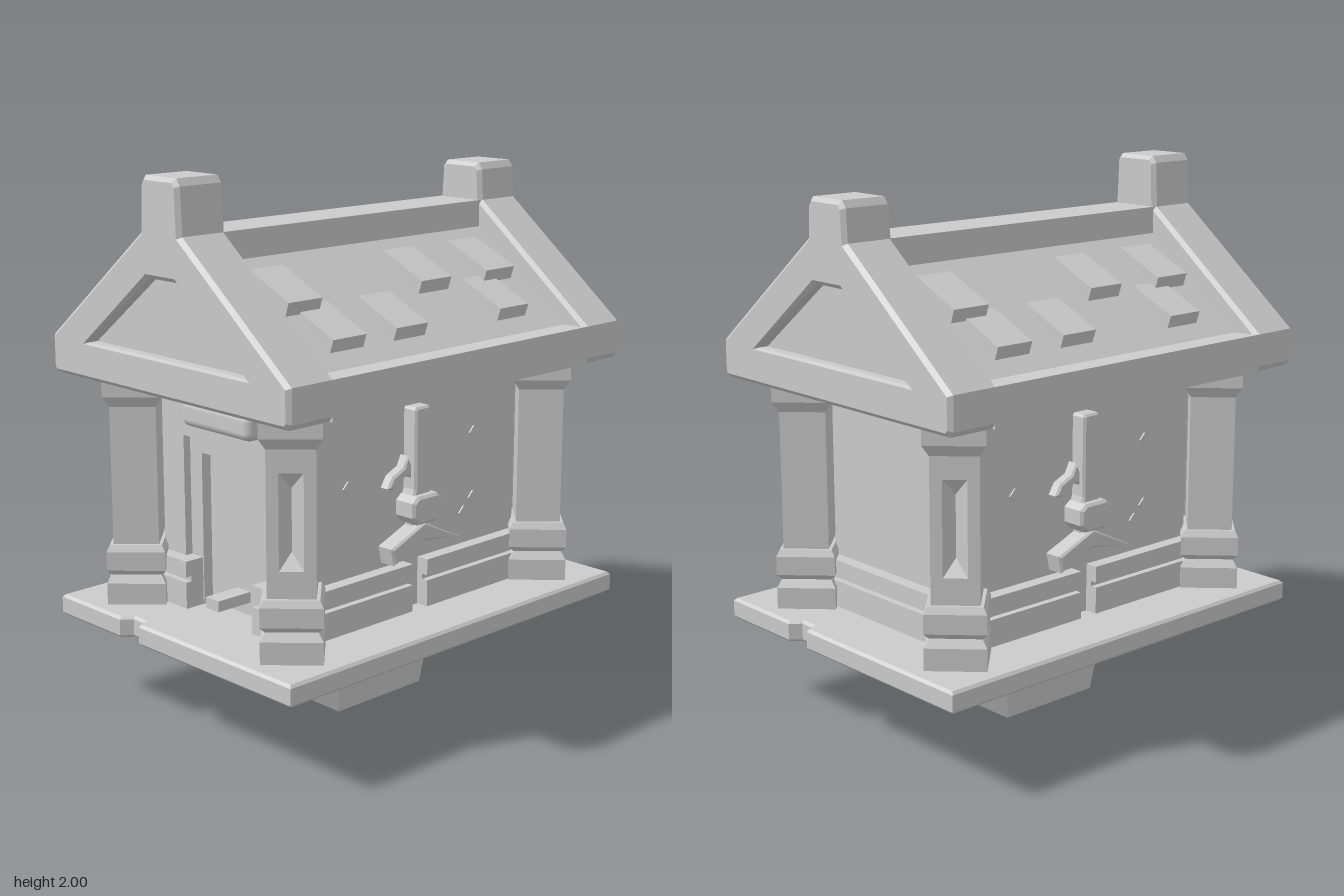
import * as THREE from 'three';
import { ConvexGeometry } from 'three/addons/geometries/ConvexGeometry.js';
import { RoundedBoxGeometry } from 'three/addons/geometries/RoundedBoxGeometry.js';

const flat = new THREE.MeshStandardMaterial({ color: 0xcccccc, flatShading: true });
const smooth = new THREE.MeshStandardMaterial({ color: 0xcccccc });

function add(parent, name, geometry, material = flat) {
  const mesh = new THREE.Mesh(geometry, material);
  mesh.name = name;
  parent.add(mesh);
  return mesh;
}

// Box given by its lower and upper corners
function block(parent, name, [x0, y0, z0], [x1, y1, z1]) {
  const g = new THREE.BoxGeometry(x1 - x0, y1 - y0, z1 - z0);
  g.translate((x0 + x1) / 2, (y0 + y1) / 2, (z0 + z1) / 2);
  return add(parent, name, g);
}

const shapeOf = pts => new THREE.Shape(pts.map(p => new THREE.Vector2(...p)));

// Outline in x, y extruded from z0 to z1, with an optional hole and edge bevel
function slab(pts, z0, z1, { hole, bevel = 0 } = {}) {
  const shape = shapeOf(pts);
  if (hole) shape.holes.push(new THREE.Path(hole.map(p => new THREE.Vector2(...p))));
  const g = new THREE.ExtrudeGeometry(shape, {
    depth: z1 - z0 - 2 * bevel, bevelEnabled: bevel > 0, bevelSize: bevel,
    bevelThickness: bevel, bevelOffset: -bevel, bevelSegments: 1,
  });
  return g.translate(0, 0, z0 + bevel);
}

// Flat-sided surface from convex polygons, corners counter-clockwise from outside
function faces(polygons) {
  const pos = [];
  for (const p of polygons)
    for (let i = 1; i < p.length - 1; i++) pos.push(...p[0], ...p[i], ...p[i + 1]);
  const g = new THREE.BufferGeometry();
  g.setAttribute('position', new THREE.Float32BufferAttribute(pos, 3));
  g.computeVertexNormals();
  return g;
}

const mirrored = half => [...half, ...half.map(([x, y]) => [-x, y]).reverse()];
const rect = (x, y0, y1) => [[-x, y0], [x, y0], [x, y1], [-x, y1]];

// Square-section post moulding from a radius profile
function moulding(profile) {
  return new THREE.LatheGeometry(profile.map(p => new THREE.Vector2(...p)), 4).rotateY(Math.PI / 4);
}

// Corner column whose carved face looks along +z
function column() {
  const group = new THREE.Group();
  group.name = 'column';
  add(group, 'columnBase', moulding([[0, 0.4], [0.152, 0.4], [0.152, 0.48], [0.14, 0.495], [0.128, 0.51],
    [0.152, 0.53], [0.152, 0.6], [0.135, 0.625], [0, 0.625]]));
  add(group, 'columnCapital', moulding([[0, 1.14], [0.118, 1.14], [0.15, 1.18], [0.15, 1.25], [0, 1.25]]));
  const h = 0.0835, w = 0.042, b = 0.62, t = 1.15, y0 = 0.72, y1 = 1.06;
  const o = [[-h, b, h], [h, b, h], [h, t, h], [-h, t, h]];
  const n = [[-w, y0, h], [w, y0, h], [w, y1, h], [-w, y1, h]];
  const k = o.map(([x, y]) => [x, y, -h]);
  const lo = [0, 0.78, h - 0.04], hi = [0, 1.0, h - 0.04];
  const polys = [[k[1], k[0], k[3], k[2]], [k[0], o[0], o[3], k[3]], [o[1], k[1], k[2], o[2]]];
  for (let i = 0; i < 4; i++) polys.push([o[i], o[(i + 1) % 4], n[(i + 1) % 4], n[i]]);
  polys.push([n[0], n[1], lo], [n[1], n[2], hi, lo], [n[2], n[3], hi], [n[3], n[0], lo, hi]);
  add(group, 'columnShaft', faces(polys));
  return group;
}

// Gable wall with a recessed panel and a square finial
function gable(top) {
  const group = new THREE.Group();
  group.name = 'gable';
  const half = [[0.615, 1.25], [0.63, 1.27], [0.63, 1.39], [0.105, 1.81], [0.098, top - 0.025], [0.08, top]];
  const hole = mirrored([[0.425, 1.385], [0.072, 1.655]]);
  add(group, 'gableWall', slab(mirrored(half), 0.635, 0.84, { hole, bevel: 0.015 }));
  add(group, 'gablePanel', slab(mirrored([[0.5, 1.36], [0.08, 1.69]]), 0.66, 0.79));
  return group;
}

// Hanging ornament, wall studs and roof shingles of the +x side
function sideDetails() {
  const group = new THREE.Group();
  group.name = 'sideDetails';
  const ornament = new THREE.Group();
  ornament.name = 'ornament';
  group.add(ornament);
  // Drawn facing +z, then turned to face +x
  const outward = (name, pts, x0, x1, bevel = 0.008) =>
    add(ornament, name, slab(pts, x0, x1, { bevel }).rotateY(Math.PI / 2));
  outward('ornamentHandle', mirrored([[0.05, 0.82], [0.038, 0.86], [0.038, 1.15], [0.032, 1.16]]), 0.35, 0.42);
  outward('ornamentBlock', mirrored([[0.05, 0.735], [0.076, 0.765], [0.076, 0.82], [0.05, 0.84]]), 0.35, 0.45, 0.01);
  outward('ornamentStem', rect(0.03, 0.66, 0.75), 0.35, 0.4);
  outward('lowerLeaf', [[0.01, 0.735], [-0.165, 0.665], [-0.15, 0.6], [0.01, 0.665]], 0.35, 0.43);
  outward('lowerLeaf', [[-0.01, 0.665], [0.19, 0.64], [0, 0.735]], 0.35, 0.43);
  outward('upperLeaf', [[-0.155, 0.88], [-0.125, 0.87], [-0.06, 0.91], [-0.035, 0.9], [-0.035, 0.95],
    [-0.055, 0.985], [-0.075, 0.945], [-0.13, 0.92]], 0.35, 0.4);

  for (const [y, z] of [[1.0, -0.33], [0.75, -0.33], [0.91, 0.32], [0.7, -0.28]]) {
    const stud = add(group, 'wallStud', new THREE.BoxGeometry(0.012, 0.035, 0.035));
    stud.position.set(0.36, y, z);
    stud.rotation.x = Math.PI / 4;
  }

  for (const [row, z] of [[0, -0.495], [0, -0.15], [0, 0.49], [1, -0.41], [1, 0.125], [1, 0.425]]) {
    const g = slab([[0.14, 1.68], [0.2, 1.55], [0.315, 1.53], [0.335, 1.59]], -0.077, 0.077);
    add(group, 'shingle', g).position.set(0.145 * row, -0.113 * row, z);
  }
  return group;
}

export function createModel() {
  const model = new THREE.Group();
  model.name = 'shrine';

  // Faceted foot and stepped floor
  const foot = [];
  for (const sx of [-1, 1]) for (const sz of [-1, 1])
    for (const [x, y, z] of [[0.238, 0.22, 0.24], [0.15, 0.22, 0.34], [0.12, 0.065, 0.315], [0.208, 0, 0.215]])
      foot.push(new THREE.Vector3(sx * x, y, sz * z));
  add(model, 'foot', new ConvexGeometry(foot));
  block(model, 'lowerStep', [-0.42, 0.215, -0.42], [0.42, 0.33, 0.42]);
  const edge = [[0.63, 0.84], [-0.17, 0.84], [-0.19, 0.8], [-0.25, 0.8], [-0.28, 0.84], [-0.63, 0.84]];
  const floor = slab([...edge, ...edge.map(([x, z]) => [-x, -z])], 0.32, 0.4, { bevel: 0.01 });
  add(model, 'floorSlab', floor.rotateX(-Math.PI / 2).scale(-1, 1, 1).rotateZ(0)).name = 'floorSlab';
  // Mirroring reverses the corners, so swap them back
  const p = floor.attributes.position;
  for (let i = 0; i < p.count; i += 3) {
    const a = new THREE.Vector3().fromBufferAttribute(p, i);
    p.setXYZ(i, p.getX(i + 1), p.getY(i + 1), p.getZ(i + 1));
    p.setXYZ(i + 1, a.x, a.y, a.z);
  }
  floor.rotateY(Math.PI);
  floor.computeVertexNormals();

  // Walls with a stepped doorway
  block(model, 'walls', [-0.36, 0.39, -0.56], [0.36, 1.26, 0.49]);
  add(model, 'doorFrame', slab(rect(0.36, 0.39, 1.26), 0.49, 0.53, { hole: rect(0.175, 0.395, 0.975) }));
  add(model, 'frontWall', slab(rect(0.36, 0.39, 1.26), 0.53, 0.56, { hole: rect(0.24, 0.395, 1.035) }));
  block(model, 'doorLatch', [-0.035, 0.45, 0.48], [0.035, 0.49, 0.64]);
  const plaque = add(model, 'plaque', new RoundedBoxGeometry(0.37, 0.1, 0.1, 3, 0.03), smooth);
  plaque.position.set(0, 1.14, 0.57);

  // Double skirting, broken at the door and in the middle of each side
  for (const [y0, y1, d] of [[0.395, 0.5, 0.05], [0.5, 0.52, 0.025], [0.52, 0.58, 0.05]]) {
    block(model, 'backSkirting', [-0.36, y0, -0.56 - d], [0.36, y1, -0.5]);
    for (const s of [-1, 1]) {
      const [a, b] = [0.18 * s, 0.38 * s].sort((m, n) => m - n);
      block(model, 'frontSkirting', [a, y0, 0.48], [b, y1, 0.56 + d]);
      const [x0, x1] = [0.3 * s, (0.36 + d) * s].sort((m, n) => m - n);
      block(model, 'sideSkirting', [x0, y0, 0.038], [x1, y1, 0.58]);
      block(model, 'sideSkirting', [x0, y0, -0.58], [x1, y1, -0.038]);
    }
  }

  // Columns turned to face the corners
  for (const sx of [-1, 1]) for (const sz of [-1, 1]) {
    const post = column();
    post.position.set(0.42 * sx, 0, 0.635 * sz);
    post.rotation.y = Math.atan2(sx, sz);
    model.add(post);
  }

  // Roof with eave beams and ridge, closed by gables
  const roof = mirrored([[0.63, 1.25], [0.63, 1.39], [0.525, 1.385], [0.1, 1.71], [0.1, 1.81]]);
  add(model, 'roof', slab(roof, -0.65, 0.65));
  const backGable = gable(1.95);
  backGable.rotation.y = Math.PI;
  model.add(gable(2), backGable);

  const otherSide = sideDetails();
  otherSide.rotation.y = Math.PI;
  model.add(sideDetails(), otherSide);
  return model;
}
